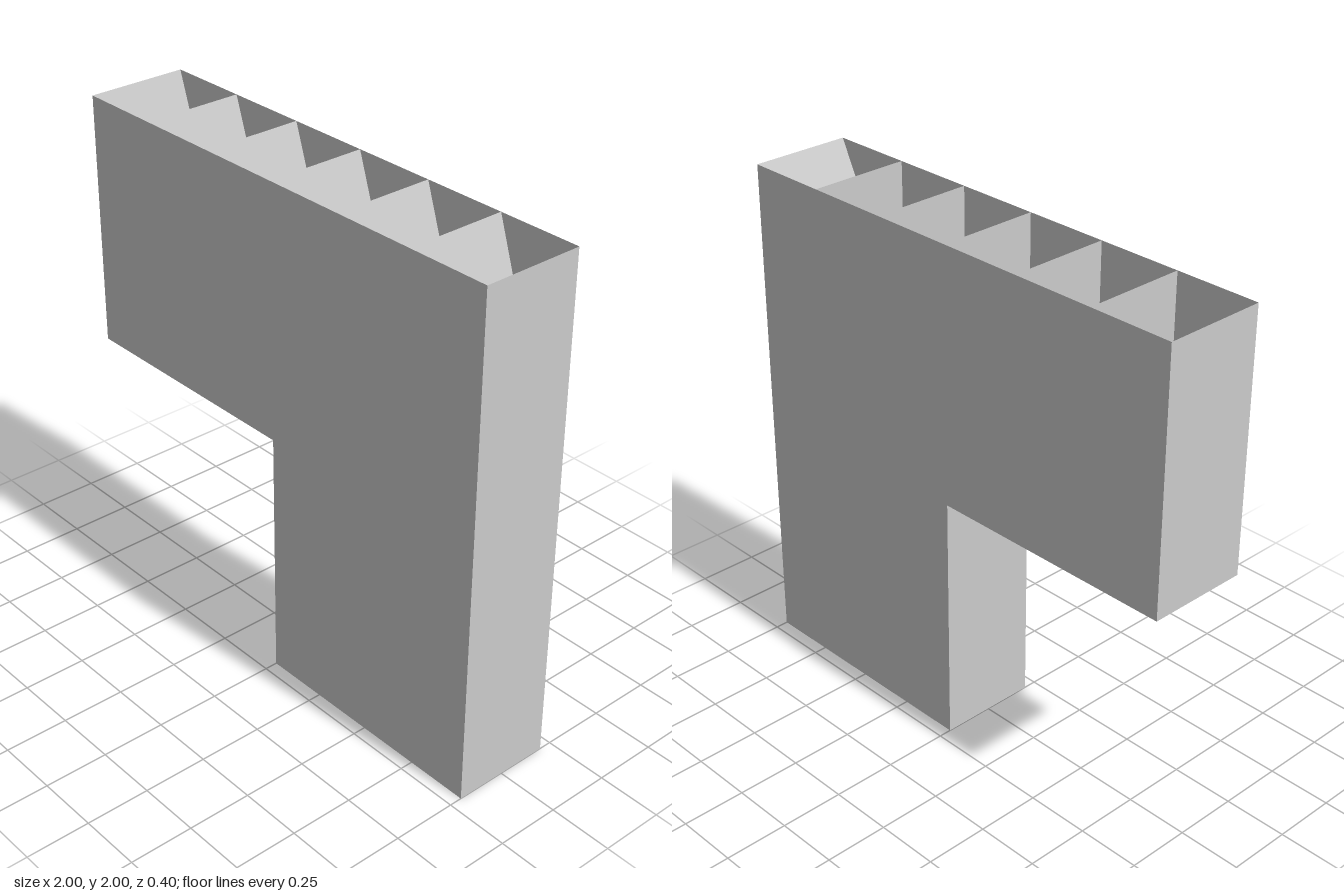
import * as THREE from 'three';

const DEPTH = 0.4;

export function createModel() {
  const group = new THREE.Group();
  const material = new THREE.MeshStandardMaterial({
    color: 0xcccccc, flatShading: true, side: THREE.DoubleSide,
  });

  const add = (name, geometry) => {
    const mesh = new THREE.Mesh(geometry, material);
    mesh.name = name;
    group.add(mesh);
    return mesh;
  };

  // Thin sheet spanning the full depth between two points of the front outline
  const sheet = (name, x1, y1, x2, y2) => {
    const geometry = new THREE.PlaneGeometry(Math.hypot(x2 - x1, y2 - y1), DEPTH);
    geometry.rotateX(-Math.PI / 2);
    const mesh = add(name, geometry);
    mesh.position.set((x1 + x2) / 2, (y1 + y2) / 2, 0);
    mesh.rotation.z = Math.atan2(y2 - y1, x2 - x1);
  };

  // Front and back L-shaped panels
  const outline = new THREE.Shape([
    [-1, 2], [-1, 1], [0, 1], [0, 0], [1, 0], [1, 2],
  ].map(([x, y]) => new THREE.Vector2(x, y)));
  add('frontPanel', new THREE.ShapeGeometry(outline)).position.z = DEPTH / 2;
  const back = new THREE.ShapeGeometry(outline);
  back.scale(-1, 1, 1);
  const backPanel = add('backPanel', back);
  backPanel.rotation.y = Math.PI;
  backPanel.position.z = -DEPTH / 2;

  // Outer walls; the top and the foot stay open
  sheet('armEndWall', -1, 1, -1, 2);
  sheet('armFloor', -1, 1, 0, 1);
  sheet('legInnerWall', 0, 0, 0, 1);
  sheet('legOuterWall', 1, 0, 1, 2);

  // Upright dividers and slanted braces, six bays along the top
  for (let i = 0; i < 6; i++) {
    const x = -1 + i / 3;
    if (i > 0) sheet('divider', x, i > 3 ? 0 : 1, x, 2);
    sheet('upperBrace', x, 2, x + 1 / 3, 1);
    if (i >= 3) sheet('lowerBrace', x, 1, x + 1 / 3, 0);
  }

  // Long diagonal through the leg
  sheet('legDiagonal', 0, 0, 1, 2);

  return group;
}
